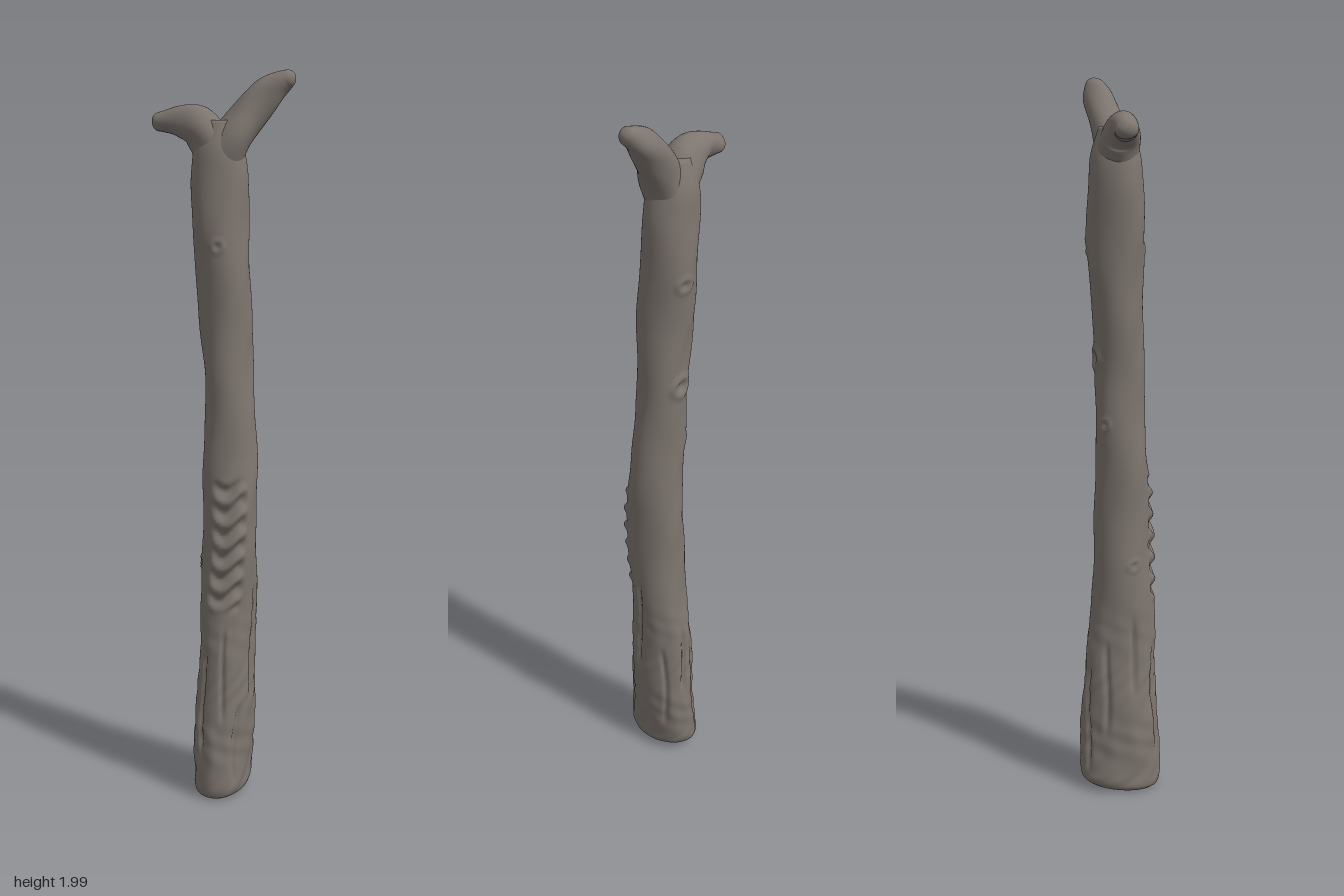
import * as THREE from 'three';

const { smoothstep, clamp } = THREE.MathUtils;

// Closed skin over rings of points; at(row, angle) gives each point
function loft(rows, segs, at) {
  const pos = [], idx = [];
  for (let i = 0; i < rows; i++) {
    for (let j = 0; j < segs; j++) {
      const p = at(i, (j / segs) * Math.PI * 2);
      pos.push(p.x, p.y, p.z);
      if (i === rows - 1) continue;
      const k = (j + 1) % segs;
      const a = i * segs + j, b = i * segs + k, c = a + segs, d = b + segs;
      idx.push(a, c, b, b, c, d);
    }
  }
  const g = new THREE.BufferGeometry();
  g.setAttribute('position', new THREE.Float32BufferAttribute(pos, 3));
  g.setIndex(idx);
  g.computeVertexNormals();
  return g;
}

// Trunk outline per height: left x, right x, back z, front z, diagonal skew
const heights = [0, 0.2, 0.4, 0.6, 0.8, 0.92, 1.0, 1.2, 1.4, 1.6, 1.74, 1.8, 1.87];
const outline = [
  -0.07, 0.113, -0.085, 0.125, 0.34,
  -0.058, 0.115, -0.09, 0.12, 0.3,
  -0.047, 0.115, -0.08, 0.105, 0.22,
  -0.036, 0.12, -0.07, 0.1, 0.15,
  -0.031, 0.128, -0.062, 0.09, 0.08,
  -0.03, 0.125, -0.06, 0.085, 0.04,
  -0.03, 0.115, -0.06, 0.08, 0,
  -0.036, 0.1, -0.058, 0.074, 0,
  -0.054, 0.092, -0.06, 0.08, 0,
  -0.066, 0.08, -0.065, 0.088, 0,
  -0.07, 0.072, -0.06, 0.087, 0,
  -0.067, 0.064, -0.052, 0.08, 0,
  -0.045, 0.045, -0.03, 0.055, 0,
];
const profile = new THREE.CubicInterpolant(heights, outline, 5);

const band = (v, lo, hi, soft) => smoothstep(v, lo - soft, lo + soft) * (1 - smoothstep(v, hi - soft, hi + soft));
const turn = (t, c) => Math.atan2(Math.sin(t - c), Math.cos(t - c));

// Bark relief: gentle lumps, cut ridges, long cracks near the foot, knots
function relief(t, y) {
  let d = 0.0022 * Math.sin(3 * t + 9 * y) + 0.0018 * Math.sin(2 * t - 17 * y + 1) + 0.001 * Math.sin(5 * t + 31 * y);
  // stacked wavy ridges on the front left
  const a = turn(t, 0.72);
  const cut = band(y, 0.57, 0.92, 0.02) * band(a, -0.62, 0.62, 0.15);
  const wave = Math.sin((y + 0.012 * Math.sin(a * 5 + 1) + 0.02 * a) * Math.PI * 2 / 0.062);
  d += cut * (0.0085 * wave - 0.002);
  // lengthwise cracks
  for (let k = 0; k < 9; k++) {
    const centre = k * 0.7 + 0.12 * Math.sin(k * 5) + 0.08 * Math.sin(13 * y + k * 2);
    const lo = 0.07 + 0.06 * ((k * 3) % 5), hi = lo + 0.2 + 0.05 * (k % 3);
    const q = turn(t, centre) / 0.075;
    d -= 0.009 * Math.exp(-q * q) * band(y, lo, hi, 0.03);
  }
  // rough lumps low down
  d += 0.002 * (1 - smoothstep(y, 0.3, 0.7)) * Math.sin(7 * t + 4 * Math.sin(19 * y)) * Math.sin(43 * y + 3 * t);
  // ringed knots: angle, height, size
  for (const [c, h, s] of [[4.0, 1.26, 0.03], [3.3, 1.08, 0.016], [4.3, 1.56, 0.02], [0.85, 1.55, 0.016], [2.2, 0.68, 0.016]]) {
    const r = Math.hypot(turn(t, c) * 0.07, (y - h) * 1.1) / s;
    d += 0.2 * s * (Math.exp(-((r - 0.95) ** 2) * 7) - 1.3 * Math.exp(-r * r * 5));
  }
  return d;
}

function trunkGeometry() {
  const rows = 250, segs = 96, top = 1.87;
  return loft(rows, segs, (i, t) => {
    const y = clamp((i - 3) / (rows - 5), 0, 1) * top;
    const [x0, x1, z0, z1, skew] = profile.evaluate(y);
    // rounded foot and flat end faces
    const e = clamp(y / 0.035, 0, 1);
    let s = 0.84 + 0.16 * Math.sqrt(1 - (1 - e) ** 2);
    if (i < 3) s = [0, 0.4, 0.78][i];
    if (i === rows - 1) s = 0;
    const d = i < 3 ? 0 : relief(t, y) * smoothstep(y, 0, 0.05) * (1 - smoothstep(y, 1.72, 1.82));
    const tilt = 0.012 * (1 - smoothstep(y, 0, 0.1)) * (1 - Math.cos(t - 0.9) * s);
    return new THREE.Vector3(
      (x0 + x1) / 2 + s * ((x1 - x0) / 2 * Math.cos(t)) + d * Math.cos(t),
      y + tilt,
      (z0 + z1) / 2 + s * ((z1 - z0) / 2 * Math.sin(t + skew)) + d * Math.sin(t));
  });
}

// Tapered limb along a path; each point is x, y, z, radius
function limbGeometry(points) {
  const rows = 48, segs = 40;
  const path = new THREE.CatmullRomCurve3(points.map((p) => new THREE.Vector3(p[0], p[1], p[2])));
  const radius = new THREE.CubicInterpolant(points.map((p, i) => i / (points.length - 1)), points.map((p) => p[3]), 1);
  const side = new THREE.Vector3(1, 0, 1).normalize();
  return loft(rows, segs, (i, t) => {
    // rows crowd towards the tip so that it closes in a round end
    const u = Math.sin((i / (rows - 1)) * Math.PI / 2);
    const round = Math.sqrt(Math.max(0, 1 - clamp((u - 0.9) / 0.1, 0, 1) ** 2));
    const r = i === 0 ? 0 : radius.evaluate(u)[0] * round * (1 + 0.05 * Math.sin(2 * t + 9 * u) + 0.03 * Math.sin(3 * t - 14 * u));
    const T = path.getTangent(u);
    const N = side.clone().addScaledVector(T, -side.dot(T)).normalize();
    const B = new THREE.Vector3().crossVectors(N, T);
    return path.getPoint(u).addScaledVector(N, r * Math.cos(t)).addScaledVector(B, r * Math.sin(t));
  });
}

export function createModel() {
  const group = new THREE.Group();
  const bark = new THREE.MeshStandardMaterial({ color: 0x7d756f });
  bark.name = 'greyBrownBark';

  const add = (name, geometry) => {
    const mesh = new THREE.Mesh(geometry, bark);
    mesh.name = name;
    group.add(mesh);
  };

  add('trunk', trunkGeometry());
  // tall prong, leaning back and to the left
  add('tallProng', limbGeometry([
    [0.0, 1.73, 0.015, 0.055],
    [0.025, 1.81, 0.0, 0.054],
    [0.05, 1.88, -0.04, 0.047],
    [0.085, 1.94, -0.083, 0.04],
    [0.115, 1.969, -0.108, 0.029],
    [0.142, 1.983, -0.122, 0.018],
  ]));
  // short prong, reaching forward and to the right
  add('shortProng', limbGeometry([
    [0.005, 1.73, 0.01, 0.055],
    [-0.012, 1.8, 0.025, 0.056],
    [-0.04, 1.852, 0.05, 0.052],
    [-0.08, 1.868, 0.08, 0.039],
    [-0.115, 1.866, 0.102, 0.03],
    [-0.148, 1.862, 0.118, 0.022],
  ]));
  return group;
}
